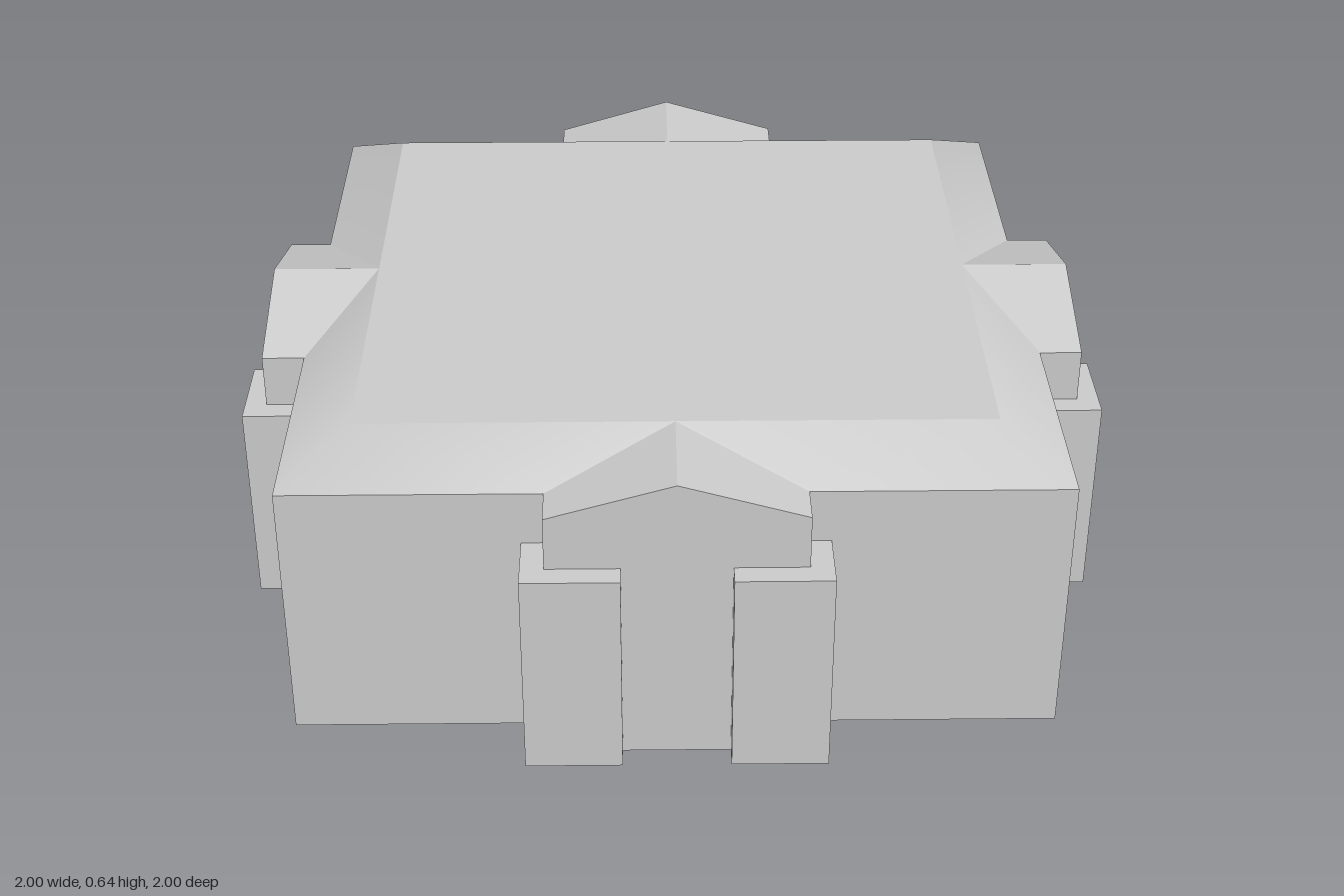
import * as THREE from 'three';
import { toCreasedNormals } from 'three/addons/utils/BufferGeometryUtils.js';

const WALL = 0.779;   // half width of the square block
const DECK = 0.639;   // half width of the flat roof
const EAVE = 0.565, TOP = 0.64, LEDGE = 0.45;
const BAY = 0.257, BAY_Z = 0.868;                 // gabled bay
const PIN = 0.109, POUT = 0.304, PIER_Z = 0.914;  // corner piers

const material = new THREE.MeshStandardMaterial({ color: 0xcccccc, side: THREE.DoubleSide });

// Fan-triangulates polygons, each with its mirror image across x = 0
function mirroredGeometry(polygons) {
  const pos = [];
  const fan = (pts) => {
    for (let i = 1; i < pts.length - 1; i++) pos.push(...pts[0], ...pts[i], ...pts[i + 1]);
  };
  for (const poly of polygons) {
    fan(poly);
    const [first, ...rest] = poly.map(([x, y, z]) => [-x, y, z]);
    fan([first, ...rest.reverse()]);
  }
  const g = new THREE.BufferGeometry();
  g.setAttribute('position', new THREE.Float32BufferAttribute(pos, 3));
  g.computeVertexNormals();
  return g;
}

const atZ = (z, pts) => pts.map(([x, y]) => [x, y, z]);

// Vertical wall strip at constant x, running from z0 to z1
const sideWall = (x, y0, y1, z0, z1) => [[x, y0, z0], [x, y0, z1], [x, y1, z1], [x, y1, z0]];

// Right halves of the parts on one side of the building
const parts = {
  mainWall: [atZ(WALL, [[POUT, LEDGE], [POUT, 0], [WALL, 0], [WALL, EAVE], [BAY, EAVE], [BAY, LEDGE]])],
  bayWalls: [
    atZ(BAY_Z, [[PIN, LEDGE], [BAY, LEDGE], [BAY, EAVE], [0, TOP], [0, 0], [PIN, 0]]),
    sideWall(BAY, LEDGE, EAVE, BAY_Z, WALL),
  ],
  piers: [
    atZ(PIER_Z, [[PIN, 0], [POUT, 0], [POUT, LEDGE], [PIN, LEDGE]]),
    sideWall(POUT, 0, LEDGE, PIER_Z, WALL),
    sideWall(PIN, 0, LEDGE, BAY_Z, PIER_Z),
    // L-shaped cap around the corner of the bay
    [[BAY, BAY_Z], [PIN, BAY_Z], [PIN, PIER_Z], [POUT, PIER_Z], [POUT, WALL], [BAY, WALL]]
      .map(([x, z]) => [x, LEDGE, z]),
  ],
  bayRoof: [[[0, TOP, BAY_Z], [BAY, EAVE, BAY_Z], [BAY, EAVE, WALL], [0, TOP, DECK]]],
};

export function createModel() {
  const model = new THREE.Group();
  model.name = 'building';
  const block = new THREE.Group();
  block.name = 'block';
  block.rotation.y = THREE.MathUtils.degToRad(-20);
  model.add(block);

  const add = (parent, name, geometry) => {
    const mesh = new THREE.Mesh(geometry, material);
    mesh.name = name;
    parent.add(mesh);
    return mesh;
  };

  // Four identical sides
  const geometries = Object.entries(parts).map(([name, polys]) => [name, mirroredGeometry(polys)]);
  ['front', 'left', 'back', 'right'].forEach((name, i) => {
    const side = new THREE.Group();
    side.name = name + 'Side';
    side.rotation.y = i * Math.PI / 2;
    for (const [part, geometry] of geometries) add(side, part, geometry);
    block.add(side);
  });

  // Sloped roof border, softly shaded across the hips
  const slope = mirroredGeometry([
    [[BAY, EAVE, WALL], [WALL, EAVE, WALL], [DECK, TOP, DECK], [0, TOP, DECK]],
  ]);
  const ring = [];
  for (let i = 0; i < 4; i++) {
    ring.push(...slope.clone().rotateY(i * Math.PI / 2).getAttribute('position').array);
  }
  const border = new THREE.BufferGeometry();
  border.setAttribute('position', new THREE.Float32BufferAttribute(ring, 3));
  add(block, 'roofSlopes', toCreasedNormals(border, 0.75));

  // Flat top
  const deck = add(block, 'roofDeck', new THREE.PlaneGeometry(2 * DECK, 2 * DECK).rotateX(-Math.PI / 2));
  deck.position.y = TOP;

  return model;
}
